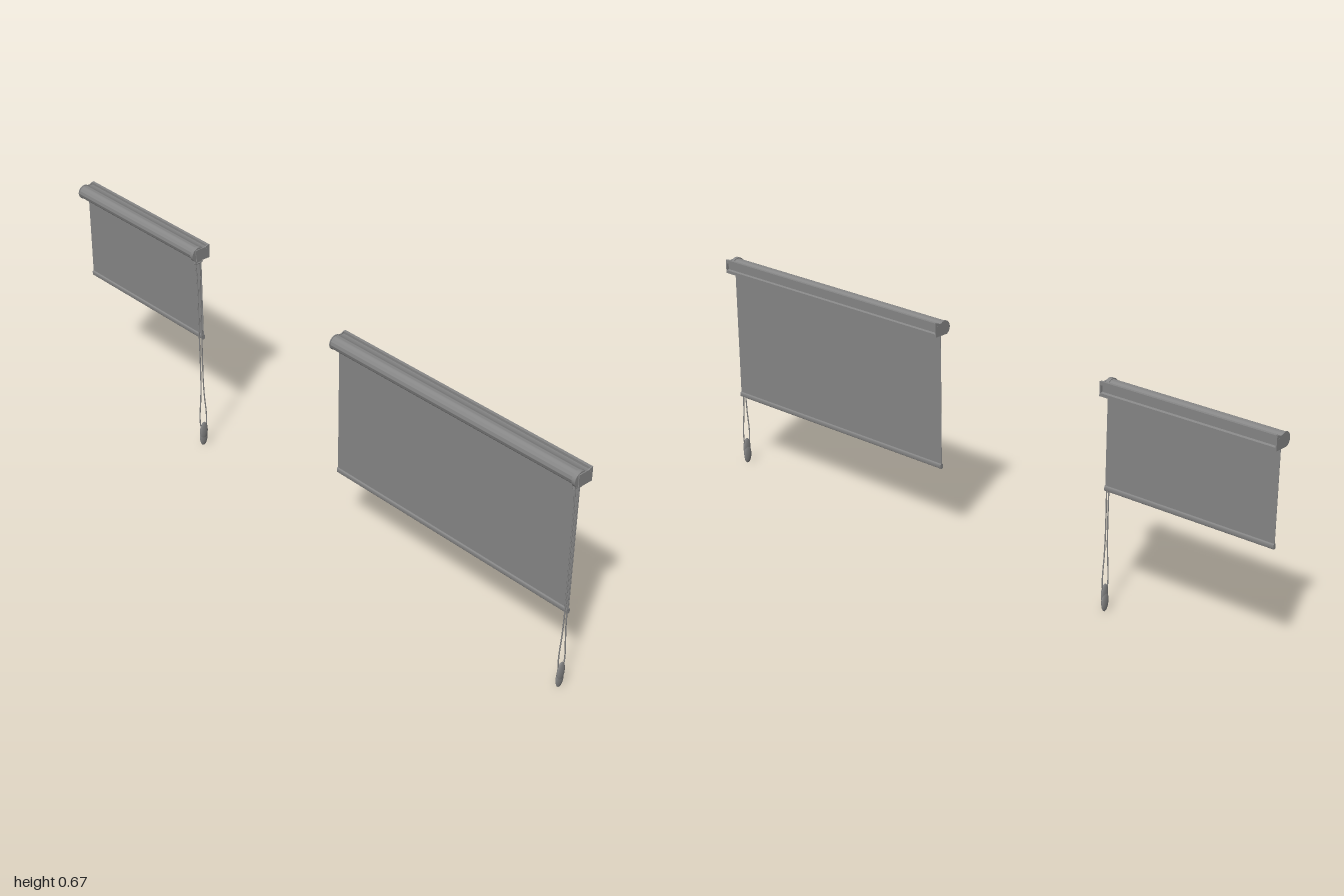
import * as THREE from 'three';
import { toCreasedNormals } from 'three/addons/utils/BufferGeometryUtils.js';

const grey = new THREE.MeshStandardMaterial({ color: 0x878787, side: THREE.DoubleSide });

function add(group, name, geometry, x = 0, y = 0, z = 0) {
  const mesh = new THREE.Mesh(geometry, grey);
  mesh.name = name;
  mesh.position.set(x, y, z);
  group.add(mesh);
  return mesh;
}

// Headbox section (horizontal axis is -z): round front, channels on top, back and underside
function headboxProfile() {
  const s = new THREE.Shape();
  s.moveTo(0.009, 0.632);
  for (const [u, v] of [[0.009, 0.641], [0.002, 0.643], [0.002, 0.661], [0.009, 0.663], [0.009, 0.673],
    [0.001, 0.673], [0.001, 0.666], [-0.012, 0.666]]) s.lineTo(u, v);
  s.absarc(-0.027, 0.651, 0.020, Math.PI * 0.3, Math.PI * 1.36, false);
  for (const [u, v] of [[-0.02, 0.632], [-0.019, 0.637], [-0.004, 0.637], [-0.003, 0.632]]) s.lineTo(u, v);
  s.closePath();
  return s;
}

// Plain end cap that follows the round front
function endCapProfile() {
  const s = new THREE.Shape();
  s.moveTo(0.009, 0.632);
  s.lineTo(0.009, 0.673);
  s.quadraticCurveTo(0, 0.673, -0.006, 0.668);
  s.lineTo(-0.012, 0.668);
  s.absarc(-0.027, 0.651, 0.0215, Math.PI * 0.3, Math.PI * 1.36, false);
  s.closePath();
  return s;
}

// Cover plate over the drive housing, with a wavy front edge
function coverProfile() {
  const s = new THREE.Shape();
  s.moveTo(0.009, 0.632);
  s.lineTo(0.009, 0.673);
  s.quadraticCurveTo(0, 0.673, -0.006, 0.668);
  s.lineTo(-0.012, 0.669);
  s.lineTo(-0.039, 0.669);
  s.bezierCurveTo(-0.042, 0.655, -0.036, 0.645, -0.039, 0.633);
  s.closePath();
  return s;
}

function hemProfile(y) {
  const s = new THREE.Shape();
  s.moveTo(-0.009, y + 0.003);
  s.lineTo(-0.009, y + 0.012);
  s.quadraticCurveTo(-0.009, y + 0.015, -0.0135, y + 0.015);
  s.quadraticCurveTo(-0.018, y + 0.015, -0.018, y + 0.012);
  s.lineTo(-0.018, y + 0.003);
  s.quadraticCurveTo(-0.018, y, -0.0135, y);
  s.quadraticCurveTo(-0.009, y, -0.009, y + 0.003);
  return s;
}

// Extrude a side profile along x, from x0 to x1
function extrudeX(shape, x0, x1) {
  const g = new THREE.ExtrudeGeometry(shape, { depth: x1 - x0, bevelEnabled: false, curveSegments: 28 });
  g.rotateY(Math.PI / 2).translate(x0, 0, 0);
  return toCreasedNormals(g, 0.5);
}

const cylinderX = (r, length) => new THREE.CylinderGeometry(r, r, length, 32).rotateZ(Math.PI / 2);

function createBlind(name, x0, x1, hemY, chainInset) {
  const blind = new THREE.Group();
  blind.name = name;
  const chainX = x1 - chainInset;
  const rollZ = 0.028;

  // Headbox, end cap and drive end
  add(blind, 'headbox', extrudeX(headboxProfile(), x0 + 0.003, x1 - 0.004));
  add(blind, 'endCap', extrudeX(endCapProfile(), x0, x0 + 0.003));
  add(blind, 'coverPlate', extrudeX(coverProfile(), x1 - 0.004, x1));
  add(blind, 'driveHousing', cylinderX(0.0228, 0.011), x1 - 0.0085, 0.651, rollZ);
  for (const x of [x0, x1]) add(blind, 'screw', cylinderX(0.0022, 0.002), x, 0.662, 0);

  // Fabric and hem bar
  const left = x0 + 0.002, right = chainX - 0.003;
  const top = 0.638, bottom = hemY + 0.01;
  add(blind, 'fabric', new THREE.BoxGeometry(right - left, top - bottom, 0.001),
    (left + right) / 2, (top + bottom) / 2, 0.0135);
  add(blind, 'hemBar', extrudeX(hemProfile(hemY), left, right));

  // Chain loop, with a guide sleeve where each strand leaves the housing
  const half = [[0.008, 0.64], [0.008, 0.615], [0.0055, 0.57], [0.0048, 0.4], [0.0045, 0.23],
    [0.007, 0.17], [0.012, 0.11], [0.011, 0.075], [0.006, 0.06]];
  const strand = (side) => half.map(([dz, y]) => new THREE.Vector3(chainX, y, rollZ + side * dz));
  const loop = new THREE.CatmullRomCurve3([...strand(1), ...strand(-1).reverse()], true);
  add(blind, 'chain', new THREE.TubeGeometry(loop, 160, 0.0018, 8, true));
  for (const side of [-1, 1]) {
    const sleeve = new THREE.CylinderGeometry(0.0035, 0.0045, 0.012, 16);
    add(blind, 'chainGuide', sleeve, chainX, 0.63, rollZ + side * 0.0115);
  }
  const bridge = new THREE.QuadraticBezierCurve3(
    new THREE.Vector3(chainX, 0.625, rollZ - 0.016),
    new THREE.Vector3(chainX, 0.619, rollZ),
    new THREE.Vector3(chainX, 0.625, rollZ + 0.016));
  add(blind, 'guideBridge', new THREE.TubeGeometry(bridge, 16, 0.002, 8));

  // Chain weight: two overlapping oval shells
  for (const [y, dx] of [[0.053, 0.001], [0.031, -0.001]]) {
    const shell = add(blind, 'chainWeight', new THREE.SphereGeometry(1, 32, 20), chainX + dx, y, rollZ);
    shell.scale.set(0.0055, 0.03, 0.0143);
  }
  return blind;
}

export function createModel() {
  const model = new THREE.Group();
  model.name = 'rollerBlinds';
  const wide = createBlind('wideBlind', 0.143, 0.999, 0.23, 0.013);
  const narrow = createBlind('narrowBlind', -0.999, -0.461, 0.363, 0.0075);
  narrow.position.z = -0.041;
  model.add(wide, narrow);
  model.position.y = -0.001;
  return model;
}
